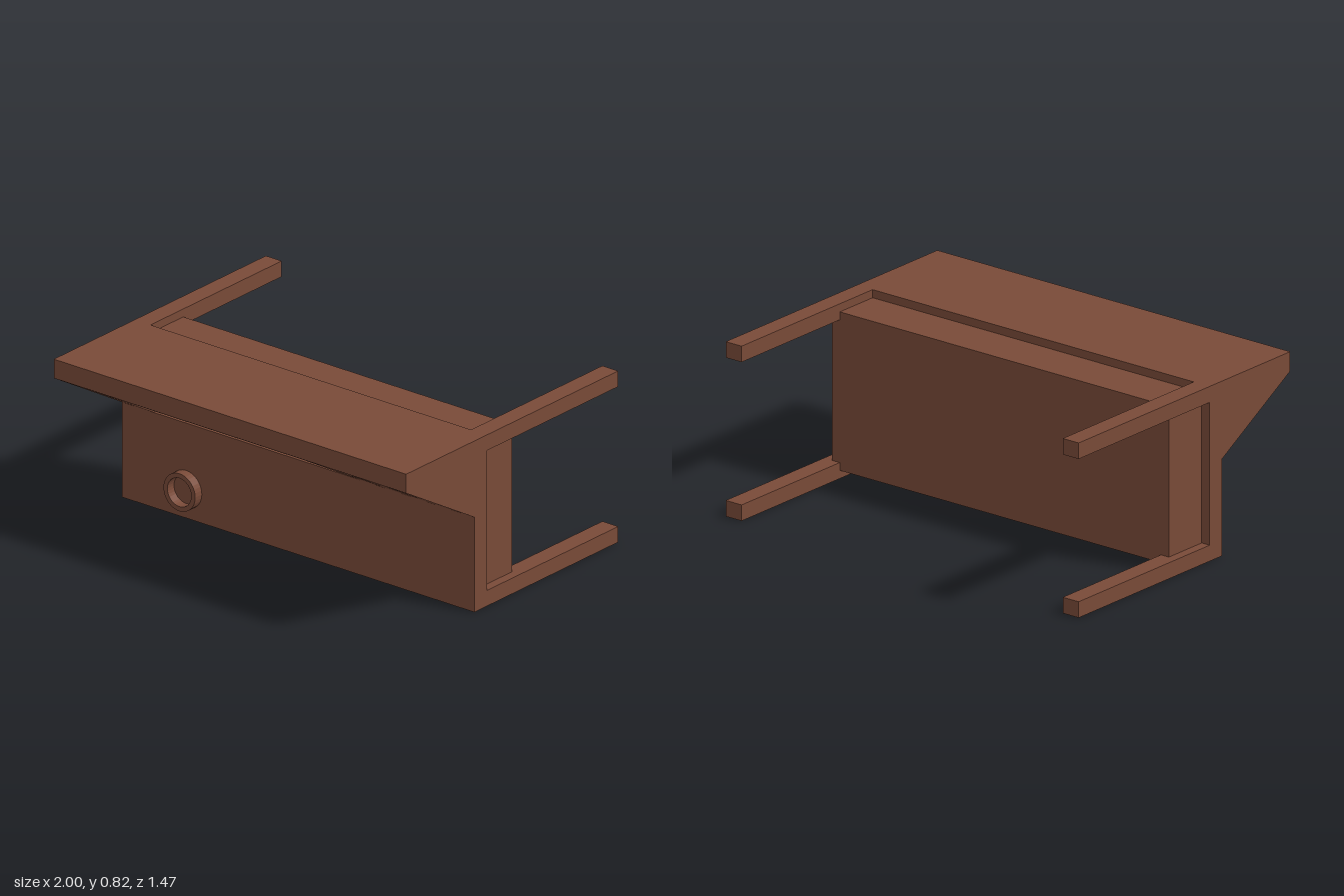
import * as THREE from 'three';

const brown = new THREE.MeshStandardMaterial({ color: 0x794a38 });
brown.name = 'brown';

export function createModel() {
  const group = new THREE.Group();
  const add = (name, geometry) => {
    const mesh = new THREE.Mesh(geometry, brown);
    mesh.name = name;
    group.add(mesh);
    return mesh;
  };
  const box = (name, x0, x1, y0, y1, z0, z1) =>
    add(name, new THREE.BoxGeometry(x1 - x0, y1 - y0, z1 - z0)
      .translate((x0 + x1) / 2, (y0 + y1) / 2, (z0 + z1) / 2));
  const shapeOf = (pts) => new THREE.Shape(pts.map(([a, b]) => new THREE.Vector2(a, b)));
  // Side profile in (z, y), swept from x0 to x1
  const sweep = (name, pts, x0, x1) =>
    add(name, new THREE.ExtrudeGeometry(shapeOf(pts), { depth: x1 - x0, bevelEnabled: false })
      .rotateY(-Math.PI / 2).translate(x1, 0, 0));

  // Sloped underside runs from a to b, with its unit direction and a shallow inset
  const a = [0.262, 0.455], b = [0.735, 0.729];
  const length = Math.hypot(b[0] - a[0], b[1] - a[1]);
  const sz = (b[0] - a[0]) / length, sy = (b[1] - a[1]) / length;
  const inset = 0.014;
  const inward = ([z, y]) => [z - sy * inset, y + sz * inset];
  const profile = (middle) => [[0.175, 0], [0.262, 0], a, ...middle, b, [0.735, 0.82], [0.175, 0.82]];

  // Front housing: plain end, window recess, slotted end
  sweep('plainHousing', profile([]), -1, -0.82);
  sweep('windowHousing', profile([[0.22, 0.455], [0.22, 0.7], [0.685, 0.7]]), -0.82, 0.364);
  sweep('slottedHousing', profile([inward(a), inward(b)]), 0.364, 1);

  // Sloped panel with two round-topped slots
  const panel = shapeOf([[0.364, 0], [1, 0], [1, length], [0.364, length]]);
  for (const x of [0.567, 0.795]) {
    const r = 0.023, slot = new THREE.Path();
    slot.moveTo(x - r, 0.143);
    slot.lineTo(x + r, 0.143);
    slot.lineTo(x + r, 0.381);
    slot.absarc(x, 0.381, r, 0, Math.PI, false);
    slot.closePath();
    panel.holes.push(slot);
  }
  const slopeFrame = new THREE.Matrix4().makeBasis(
    new THREE.Vector3(1, 0, 0), new THREE.Vector3(0, sy, sz), new THREE.Vector3(0, -sz, sy));
  const [pz, py] = inward(a);
  slopeFrame.setPosition(0, py, pz);
  add('slotPanel', new THREE.ExtrudeGeometry(panel, { depth: inset, bevelEnabled: false, curveSegments: 12 })
    .applyMatrix4(slopeFrame));

  // Four arms reaching to the back
  for (const [x0, x1] of [[-1, -0.91], [0.91, 1]])
    for (const [y0, y1] of [[0, 0.075], [0.745, 0.82]])
      box('rearArm', x0, x1, y0, y1, -0.735, 0.175);

  // Rear block, let halfway into the arms, with an outlet opening in its underside
  box('rearBlock', -0.955, 0.955, 0.3, 0.782, -0.053, 0.175);
  box('outletBackWall', -0.955, 0.955, 0.038, 0.3, -0.053, -0.008);
  box('outletSide', -0.955, -0.22, 0.038, 0.3, -0.008, 0.175);
  box('outletSide', 0.69, 0.955, 0.038, 0.3, -0.008, 0.175);

  // Round collar on the front
  const collar = new THREE.Shape().absarc(0, 0, 0.09, 0, Math.PI * 2, false);
  collar.holes.push(new THREE.Path().absarc(0, 0, 0.068, 0, Math.PI * 2, true));
  add('frontCollar', new THREE.ExtrudeGeometry(collar, { depth: 0.046, bevelEnabled: false, curveSegments: 16 }))
    .position.set(-0.637, 0.138, 0.262);

  return group;
}
